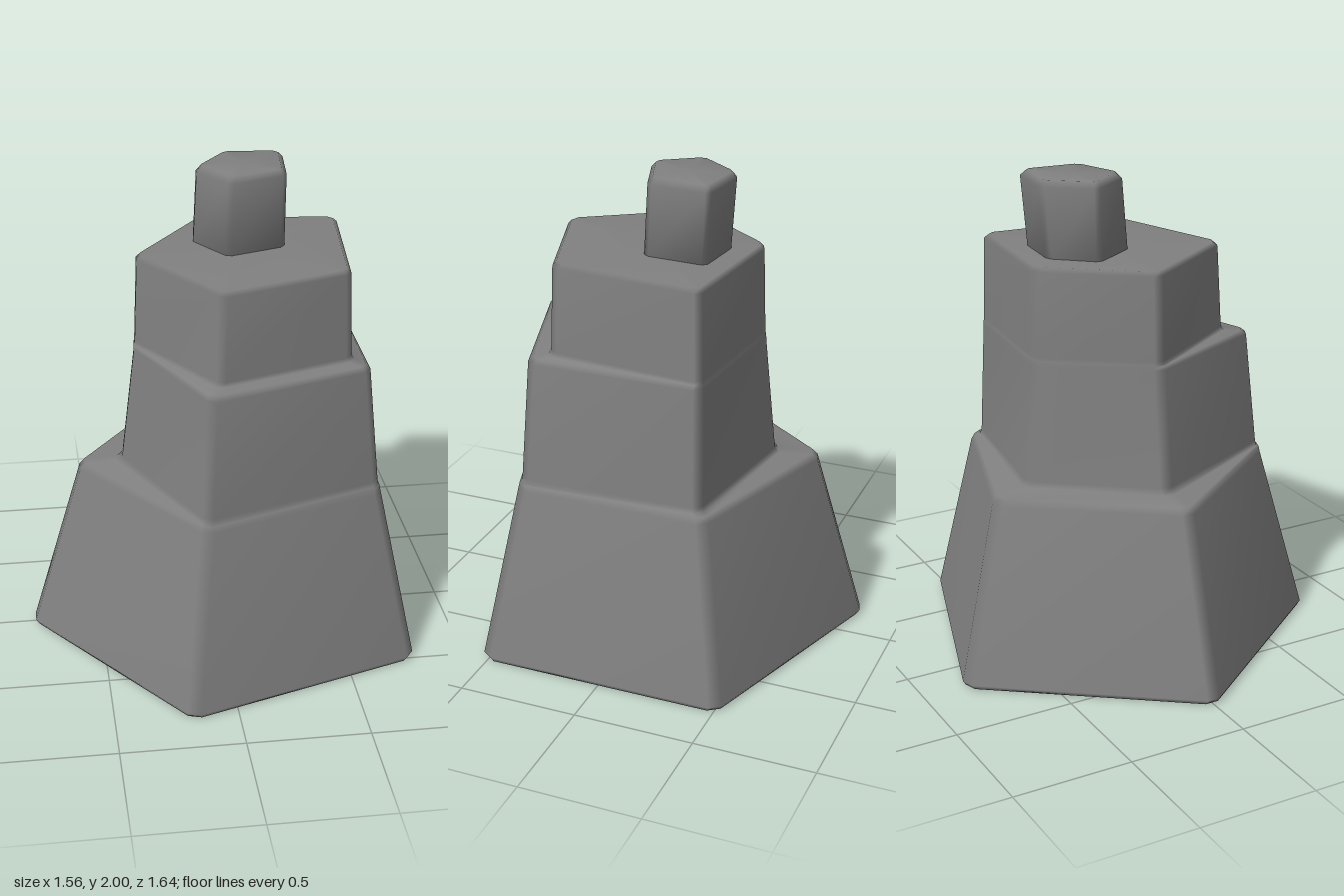
import * as THREE from 'three';

// Ring of ten points: five corners, each cut off by a small chamfer.
// Corner order: left, front-left, front-right, back-right, back-left.
function ring(y, corners, cut) {
  const pts = corners.map((c) => new THREE.Vector3(c[0], y, c[1]));
  return pts.flatMap((p, i) => {
    const toward = (q) => p.clone().add(q.clone().sub(p).setLength(cut));
    return [toward(pts[(i + 4) % 5]), toward(pts[(i + 1) % 5])];
  });
}

// Scale corners about their own centre
function shrink(corners, s) {
  const cx = corners.reduce((a, c) => a + c[0], 0) / 5;
  const cz = corners.reduce((a, c) => a + c[1], 0) / 5;
  return corners.map(([x, z]) => [cx + (x - cx) * s, cz + (z - cz) * s]);
}

// Closed smooth skin through the rings, capped at both ends
function loft(rings) {
  const n = 10;
  const verts = rings.flat();
  const index = [];
  for (let r = 0; r < rings.length - 1; r++) {
    for (let i = 0; i < n; i++) {
      const j = (i + 1) % n;
      const a = r * n + i, b = r * n + j;
      index.push(a, b, b + n, a, b + n, a + n);
    }
  }
  const centre = (pts) =>
    pts.reduce((s, p) => s.add(p), new THREE.Vector3()).divideScalar(n);
  const bottom = verts.length, top = bottom + 1, last = (rings.length - 1) * n;
  const all = [...verts, centre(rings[0]), centre(rings[rings.length - 1])];
  for (let i = 0; i < n; i++) {
    const j = (i + 1) % n;
    index.push(bottom, j, i, top, last + i, last + j);
  }
  const g = new THREE.BufferGeometry().setFromPoints(all);
  g.setIndex(index);
  g.computeVertexNormals();
  return g;
}

export function createModel() {
  const group = new THREE.Group();
  const stone = new THREE.MeshStandardMaterial({ color: 0x808080 });
  stone.name = 'stone grey';

  const add = (name, rings) => {
    const mesh = new THREE.Mesh(loft(rings), stone);
    mesh.name = name;
    group.add(mesh);
  };

  // Outlines of the three tiers, flush on some sides and stepped on others
  const foot = [[-0.8, 0], [-0.19, 0.83], [0.785, 0.515], [0.785, -0.515], [-0.19, -0.83]];
  const lowTop = [[-0.585, 0], [-0.11, 0.645], [0.643, 0.4], [0.643, -0.4], [-0.11, -0.64]];
  const lowRim = [[-0.56, 0], [-0.11, 0.637], [0.638, 0.395], [0.63, -0.39], [-0.1, -0.615]];
  const midFoot = [[-0.425, 0], [-0.11, 0.63], [0.634, 0.39], [0.615, -0.375], [-0.055, -0.48]];
  const midBase = [[-0.4, 0], [-0.108, 0.625], [0.632, 0.385], [0.608, -0.37], [-0.05, -0.465]];
  const midTop = [[-0.342, 0], [-0.085, 0.58], [0.588, 0.365], [0.582, -0.36], [-0.035, -0.42]];
  const midRim = [[-0.341, 0], [-0.08, 0.555], [0.57, 0.35], [0.58, -0.359], [-0.034, -0.417]];
  const highFoot = [[-0.34, 0], [-0.04, 0.49], [0.53, 0.305], [0.579, -0.358], [-0.033, -0.416]];
  const highBase = [[-0.338, 0], [-0.035, 0.478], [0.52, 0.295], [0.578, -0.357], [-0.032, -0.414]];
  const highTop = [[-0.325, 0], [-0.025, 0.46], [0.51, 0.285], [0.57, -0.35], [-0.025, -0.405]];

  add('steppedBody', [
    ring(0, shrink(foot, 0.985), 0.035),
    ring(0.02, foot, 0.035),
    ring(0.745, lowTop, 0.035),
    ring(0.77, lowRim, 0.03),
    ring(0.773, midFoot, 0.03),
    ring(0.795, midBase, 0.03),
    ring(1.28, midTop, 0.03),
    ring(1.298, midRim, 0.025),
    ring(1.3, highFoot, 0.025),
    ring(1.315, highBase, 0.025),
    ring(1.665, highTop, 0.025),
    ring(1.682, shrink(highTop, 0.96), 0.025),
  ]);

  // Leaning pentagonal stub on the top tier
  const stubFoot = [[-0.077, -0.13], [0.05, 0.073], [0.293, -0.008], [0.308, -0.272], [0.068, -0.295]];
  const stubTop = [[-0.062, -0.13], [0.062, 0.053], [0.3, -0.027], [0.325, -0.292], [0.08, -0.32]];
  add('topStub', [
    ring(1.675, stubFoot, 0.018),
    ring(1.975, stubTop, 0.018),
    ring(2, shrink(stubTop, 0.88), 0.018),
  ]);

  return group;
}
